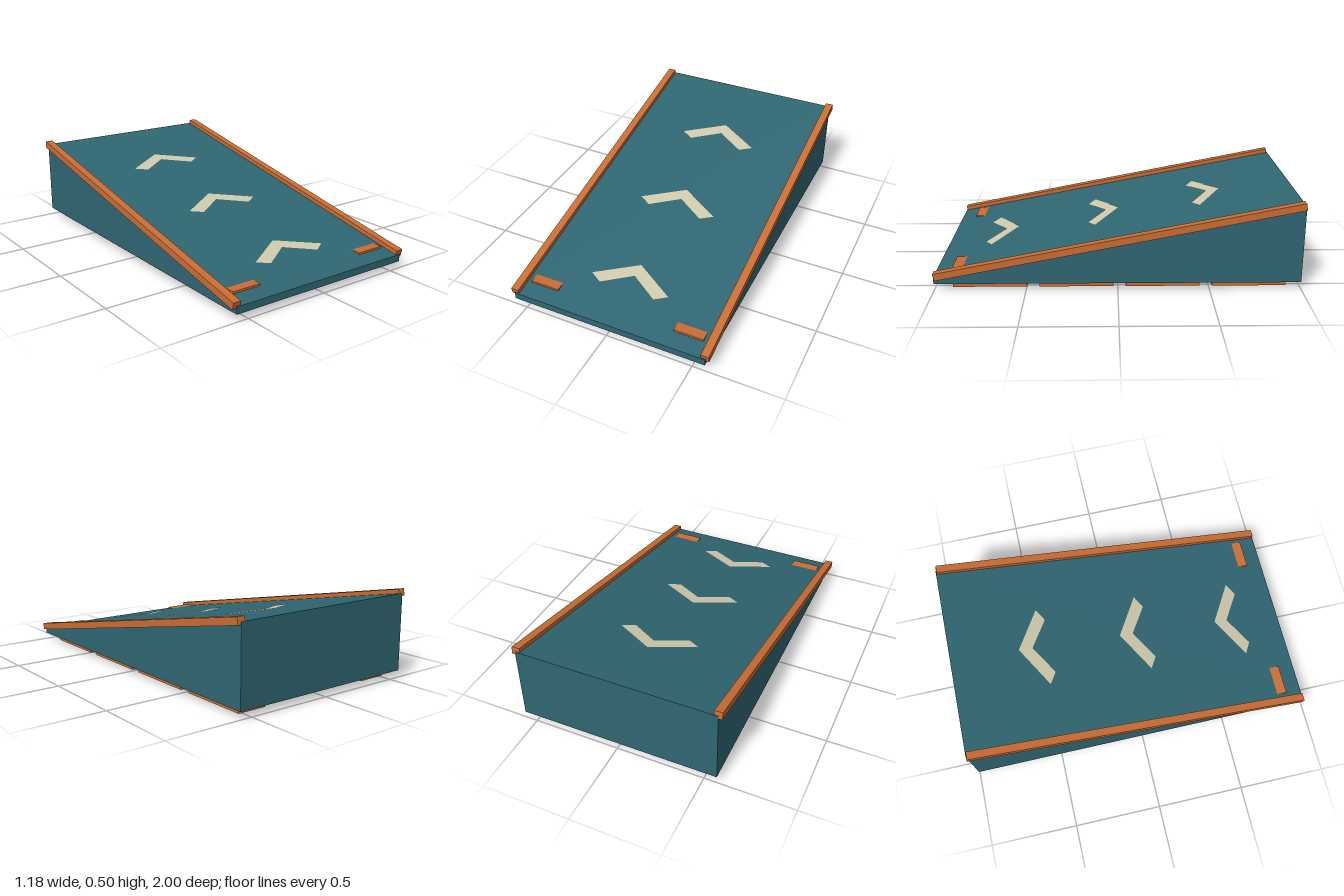
import * as THREE from 'three';

const material = (name, color) => {
  const m = new THREE.MeshStandardMaterial({ color });
  m.name = name;
  return m;
};

export function createModel() {
  const teal = material('teal', 0x2f6672);
  const orange = material('orange', 0xcb6d33);
  const cream = material('cream', 0xd0caac);
  const group = new THREE.Group();

  const add = (name, geometry, mat, x, y, z, tilt = 0) => {
    const mesh = new THREE.Mesh(geometry, mat);
    mesh.name = name;
    mesh.position.set(x, y, z);
    mesh.rotation.x = tilt;
    group.add(mesh);
    return mesh;
  };
  const polygon = (points) => new THREE.Shape(points.map(([x, y]) => new THREE.Vector2(x, y)));

  // Sloping deck surface
  const frontY = 0.08, backY = 0.475, baseY = 0.04, width = 1.14;
  const deckY = (z) => frontY + (backY - frontY) * (1 - z) / 2;
  const slope = Math.atan((backY - frontY) / 2);

  // Wedge body: side profile swept across the width
  const wedge = new THREE.ExtrudeGeometry(
    polygon([[-1, baseY], [1, baseY], [1, backY], [-1, frontY]]),
    { depth: width, bevelEnabled: false });
  wedge.translate(0, 0, -width / 2).rotateY(Math.PI / 2);
  add('rampBody', wedge, teal, 0, 0, 0);

  // Rails along both edges, feet in two rows; the front feet break through the deck
  const rail = new THREE.BoxGeometry(0.045, 0.04, 2.03);
  const foot = new THREE.BoxGeometry(0.17, 0.11, 0.407);
  for (const side of [-1, 1]) {
    add(side > 0 ? 'leftRail' : 'rightRail', rail, orange, side * 0.568, 0.282, 0, slope);
    for (let i = 0; i < 4; i++) {
      add('foot', foot, orange, side * 0.435, 0.055, 0.702 - i * 0.475);
    }
  }

  // Painted chevrons pointing up the slope
  const chevron = new THREE.ShapeGeometry(polygon([
    [0, 0], [-0.235, -0.143], [-0.165, -0.185], [0, -0.08], [0.165, -0.185], [0.235, -0.143],
  ]));
  chevron.rotateX(-Math.PI / 2);
  for (const z of [-0.612, -0.012, 0.588]) {
    add('chevron', chevron, cream, 0, deckY(z) + 0.003, z, slope);
  }
  return group;
}
